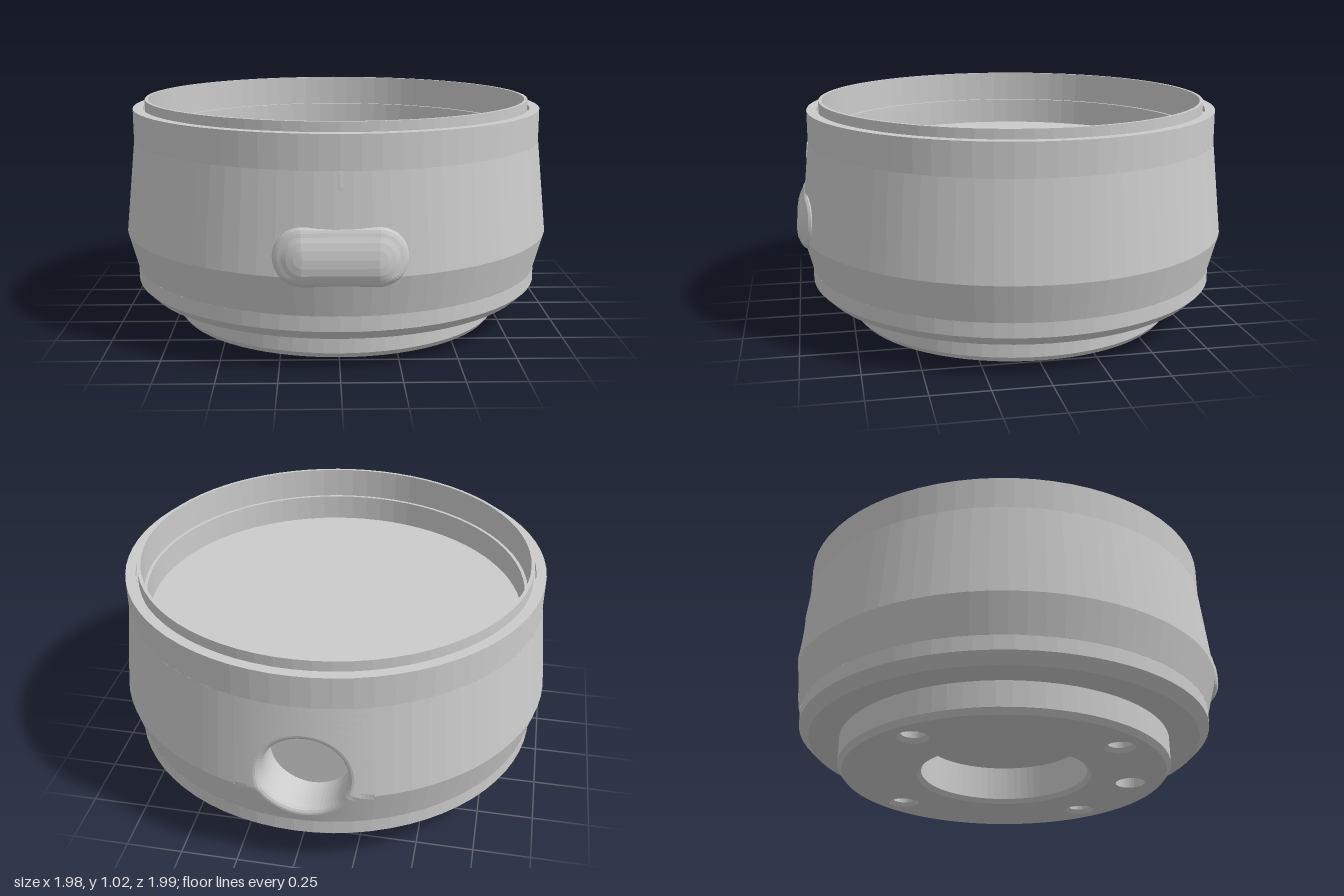
import * as THREE from 'three';

const SEG = 72;
const material = new THREE.MeshStandardMaterial({ color: 0xcccccc, flatShading: true, side: THREE.DoubleSide });

function addMesh(parent, geometry, name) {
  const mesh = new THREE.Mesh(geometry, material);
  mesh.name = name;
  parent.add(mesh);
  return mesh;
}

function lathe(profile, seg = SEG, start = 0, length = Math.PI * 2) {
  return new THREE.LatheGeometry(profile.map(([r, y]) => new THREE.Vector2(r, y)), seg, start, length);
}

// Skin a list of closed rings (each a list of [x, y, z])
function loft(rings) {
  const n = rings[0].length, index = [];
  for (let i = 0; i < rings.length - 1; i++) {
    for (let j = 0; j < n; j++) {
      const a = i * n + j, b = i * n + (j + 1) % n;
      index.push(a, b, b + n, a, b + n, a + n);
    }
  }
  const g = new THREE.BufferGeometry();
  g.setAttribute('position', new THREE.Float32BufferAttribute(rings.flat(2), 3));
  g.setIndex(index);
  g.computeVertexNormals();
  return g;
}

// Radius of the bulging belly at a given height
const LOW = 0.25, MID = 0.42, HIGH = 0.84;
function bellyRadius(y) {
  return y < MID
    ? THREE.MathUtils.mapLinear(y, LOW, MID, 0.945, 0.99)
    : THREE.MathUtils.mapLinear(y, MID, HIGH, 0.99, 0.945);
}

// Belly patch with a filleted blind round port
const PORT_ANGLE = Math.PI + 0.05, PORT_Y = 0.5, PORT_R = 0.21, PATCH = 0.3;
function portPatch() {
  const R = 0.98, up = HIGH - PORT_Y, down = PORT_Y - LOW, side = PATCH * R;
  const angles = Array.from({ length: 64 }, (_, i) => -Math.PI + (i + 0.5) / 64 * Math.PI * 2);
  for (const s of [-1, 1]) angles.push(Math.atan2(up, s * side), Math.atan2(-down, s * side));
  angles.sort((a, b) => a - b);
  const onBelly = (a, k) => {
    const y = PORT_Y + k * Math.sin(a), phi = PORT_ANGLE + k * Math.cos(a) / R, r = bellyRadius(y);
    return [r * Math.sin(phi), y, r * Math.cos(phi)];
  };
  const rings = [];
  for (let i = 0; i <= 6; i++) {
    rings.push(angles.map(a => {
      const edge = Math.min(side / Math.abs(Math.cos(a)), (Math.sin(a) > 0 ? up : down) / Math.abs(Math.sin(a)));
      return onBelly(a, THREE.MathUtils.lerp(edge, PORT_R, i / 6));
    }));
  }
  // rounded lip: radius, depth
  for (const [r, d] of [[0.2, 0.003], [0.19, 0.011], [0.183, 0.024], [0.18, 0.04]]) {
    rings.push(angles.map(a => {
      const [x, y, z] = onBelly(a, r);
      return [x, y, z + d];
    }));
  }
  // straight bore and flat end
  for (const r of [0.18, 0]) {
    rings.push(angles.map(a => {
      const [x, y] = onBelly(a, r);
      return [x, y, -0.78];
    }));
  }
  return loft(rings);
}

// Pill shape lying on the front of the belly; steps are [inset, lift]
function pill(halfW, halfH, cy, steps) {
  const r = Math.min(halfW, halfH), sx = halfW - r, sy = halfH - r, n = 48;
  return loft(steps.map(([inset, lift]) => Array.from({ length: n }, (_, i) => {
    const a = (i + 0.5) / n * Math.PI * 2, c = Math.cos(a), s = Math.sin(a);
    const x = Math.sign(c) * sx + (r - inset) * c;
    const y = cy + Math.sign(s) * sy + (r - inset) * s;
    const R = bellyRadius(y);
    return [x, y, Math.sqrt(R * R - x * x) + lift];
  })));
}

export function createModel() {
  const model = new THREE.Group();
  const body = new THREE.Group();
  body.name = 'housing';
  body.position.z = -0.02;
  model.add(body);

  // Foot and lower collar
  addMesh(body, lathe([[0.742, 0], [0.762, 0.025], [0.762, 0.14], [0.9, 0.14], [0.945, 0.185], [0.945, LOW]]), 'lowerCollar');

  // Belly, left open where the port patch sits
  addMesh(body, lathe([[0.945, LOW], [0.99, MID], [0.945, HIGH]], SEG,
    PORT_ANGLE + PATCH, Math.PI * 2 - 2 * PATCH), 'belly');
  addMesh(body, portPatch(), 'rearPort');

  // Upper collar, thin lip, inner ledge and tray floor
  addMesh(body, lathe([[0.945, HIGH], [0.945, 0.985], [0.9, 0.985], [0.9, 0.96], [0.89, 0.96],
    [0.89, 1.025], [0.875, 1.025], [0.875, 0.88], [0.86, 0.88], [0.86, 0.755], [0, 0.755]]), 'upperCollarAndTray');

  // Underside plate with its openings
  const screws = [1, 3, 5, 7].map(i => [0.625 * Math.cos(i * Math.PI / 4), 0.625 * Math.sin(i * Math.PI / 4)]);
  const pin = [0, 0.595];
  const plate = new THREE.Shape().absarc(0, 0, 0.742, 0, Math.PI * 2);
  const cut = (x, z, r) => plate.holes.push(new THREE.Path().absarc(x, z, r, 0, Math.PI * 2, true));
  cut(0, 0, 0.4);
  [...screws, pin].forEach(([x, z]) => cut(x, z, 0.068));
  addMesh(body, new THREE.ShapeGeometry(plate, 36).rotateX(Math.PI / 2), 'undersidePlate');

  // Central recess
  addMesh(body, lathe([[0.4, 0], [0.382, 0.02], [0.382, 0.18], [0, 0.18]]), 'centralRecess');

  // Countersunk screw holes and one plain pin hole
  for (const [x, z] of screws) {
    addMesh(body, lathe([[0.068, 0], [0.052, 0.018], [0.052, 0.11], [0, 0.11]], 36), 'screwHole').position.set(x, 0, z);
  }
  addMesh(body, lathe([[0.068, 0], [0.068, 0.14], [0, 0.14]], 36), 'pinHole').position.set(pin[0], 0, pin[1]);

  // Front button with rim and domed face, and the index mark above it
  addMesh(body, pill(0.27, 0.12, 0.5, [[0, -0.04], [0, 0.004], [0.008, 0.014], [0.02, 0.019],
    [0.035, 0.022], [0.055, 0.03], [0.085, 0.036], [0.119, 0.038]]), 'frontButton');
  addMesh(body, pill(0.013, 0.038, 0.802, [[0, -0.01], [0, 0.003], [0.0129, 0.004]]), 'indexMark');

  return model;
}
